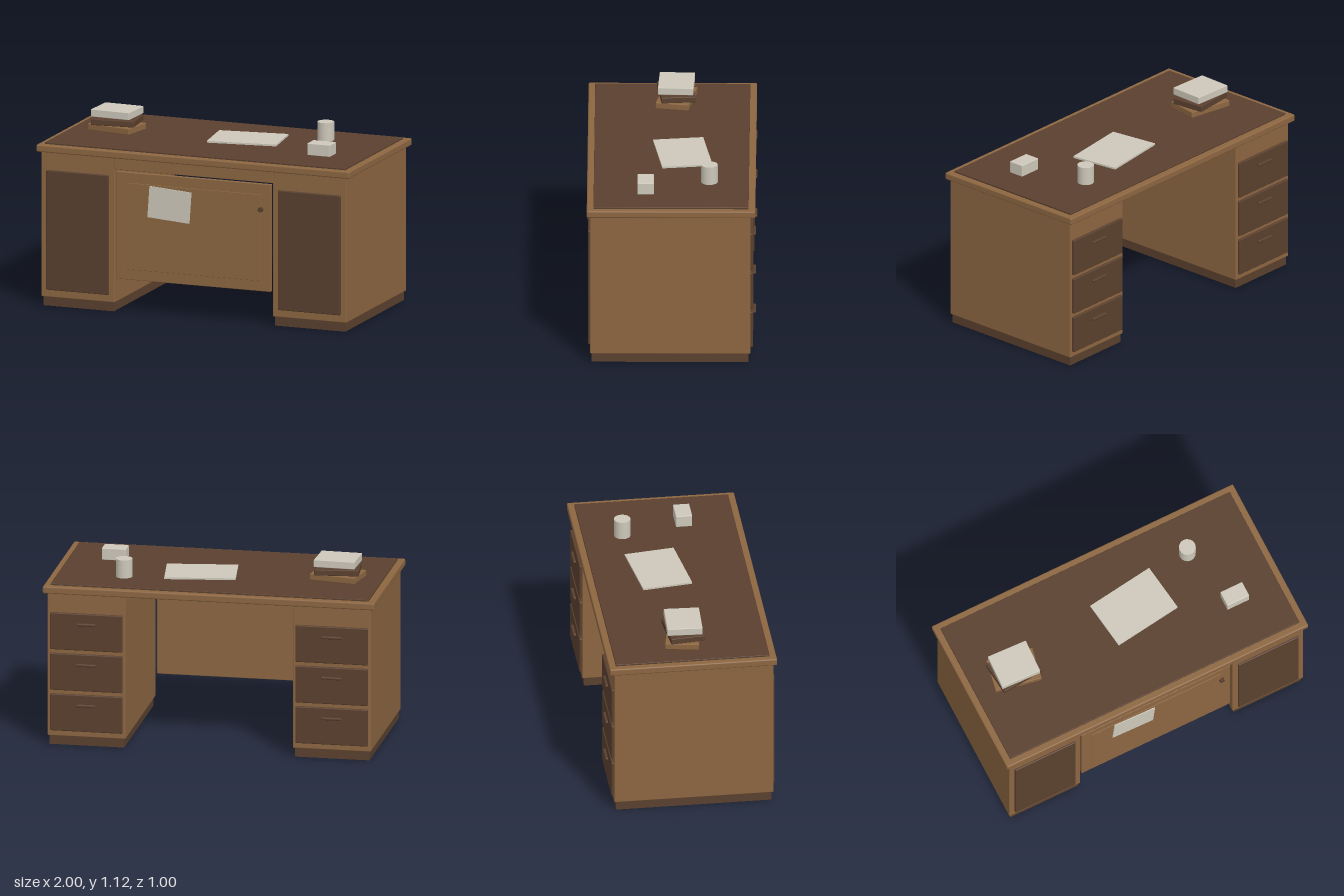
import * as THREE from 'three';
import { RoundedBoxGeometry } from 'three/addons/geometries/RoundedBoxGeometry.js';

const material = (name, color) => {
  const m = new THREE.MeshStandardMaterial({ color });
  m.name = name;
  return m;
};

export function createModel() {
  const desk = new THREE.Group();
  desk.name = 'writingDesk';
  const wood = material('warm wood', 0x8c6641);
  const dark = material('dark wood', 0x5a402e);
  const cream = material('cream paper', 0xcdc8ba);

  const add = (name, geometry, mat, x, y, z, parent = desk) => {
    const mesh = new THREE.Mesh(geometry, mat);
    mesh.name = name;
    mesh.position.set(x, y, z);
    parent.add(mesh);
    return mesh;
  };
  // Box given by its limits; r > 0 rounds the edges
  const block = (name, mat, [x0, x1], [y0, y1], [z0, z1], r = 0, parent = desk) => {
    const size = [x1 - x0, y1 - y0, z1 - z0];
    const geo = r ? new RoundedBoxGeometry(...size, 2, r) : new THREE.BoxGeometry(...size);
    return add(name, geo, mat, (x0 + x1) / 2, (y0 + y1) / 2, (z0 + z1) / 2, parent);
  };

  // Desktop with inset writing surface
  block('desktop', wood, [-1, 1], [0.935, 0.978], [-0.5, 0.5], 0.008);
  block('writingSurface', dark, [-0.96, 0.96], [0.974, 0.988], [-0.46, 0.46], 0.003);

  // Two pedestals with plinth, front panel and three drawers at the back
  for (const side of [-1, 1]) {
    const pedestal = new THREE.Group();
    pedestal.name = side > 0 ? 'leftPedestal' : 'rightPedestal';
    pedestal.position.x = side * 0.74;
    desk.add(pedestal);
    block('cabinet', wood, [-0.235, 0.235], [0.055, 0.938], [-0.47, 0.48], 0.005, pedestal);
    block('plinth', dark, [-0.225, 0.225], [0, 0.058], [-0.46, 0.47], 0, pedestal);
    block('frontPanel', dark, [-0.2, 0.2], [0.1, 0.827], [0.47, 0.492], 0.006, pedestal);
    for (const y of [0.203, 0.453, 0.703]) {
      block('drawer', dark, [-0.218, 0.218], [y - 0.113, y + 0.113], [-0.486, -0.464], 0.006, pedestal);
      block('drawerHandle', dark, [-0.06, 0.06], [y + 0.041, y + 0.057], [-0.502, -0.484], 0.006, pedestal);
    }
  }

  // Apron and modesty panel closing the kneehole at the front
  block('apron', wood, [-0.506, 0.506], [0.865, 0.938], [0.45, 0.48], 0.003);
  block('modestyPanel', wood, [-0.495, 0.49], [0.202, 0.854], [0.452, 0.478], 0.004);
  block('raisedField', wood, [-0.43, 0.43], [0.265, 0.79], [0.474, 0.482], 0.002);
  const knob = add('knob', new THREE.CylinderGeometry(0.015, 0.015, 0.02, 16), dark, 0.43, 0.7, 0.488);
  knob.rotation.x = Math.PI / 2;
  const note = add('pinnedNote', new THREE.BoxGeometry(0.268, 0.19, 0.006), cream, -0.153, 0.68, 0.485);
  note.rotation.z = -0.07;

  // Loose stack of books: width, depth, bottom, top, turn
  const books = [
    [wood, 0.285, 0.2, 0.988, 1.026, -0.18],
    [dark, 0.265, 0.205, 1.028, 1.064, 0.1],
    [cream, 0.248, 0.21, 1.075, 1.121, -0.04],
  ];
  for (const [mat, w, d, y0, y1, turn] of books) {
    const book = block('book', mat, [-0.692 - w / 2, -0.692 + w / 2], [y0, y1],
      [-0.023 - d / 2, -0.023 + d / 2], 0.004);
    book.rotation.y = turn;
  }

  // Paper, cup and small box on the desktop
  const sheet = block('paperSheet', cream, [-0.087, 0.337], [0.988, 0.999], [-0.215, 0.085]);
  sheet.rotation.y = 0.135;
  add('cup', new THREE.CylinderGeometry(0.05, 0.05, 0.112, 16), cream, 0.56, 1.043, -0.225);
  block('smallBox', cream, [0.612, 0.758], [0.986, 1.06], [0.103, 0.201], 0.005);

  return desk;
}
